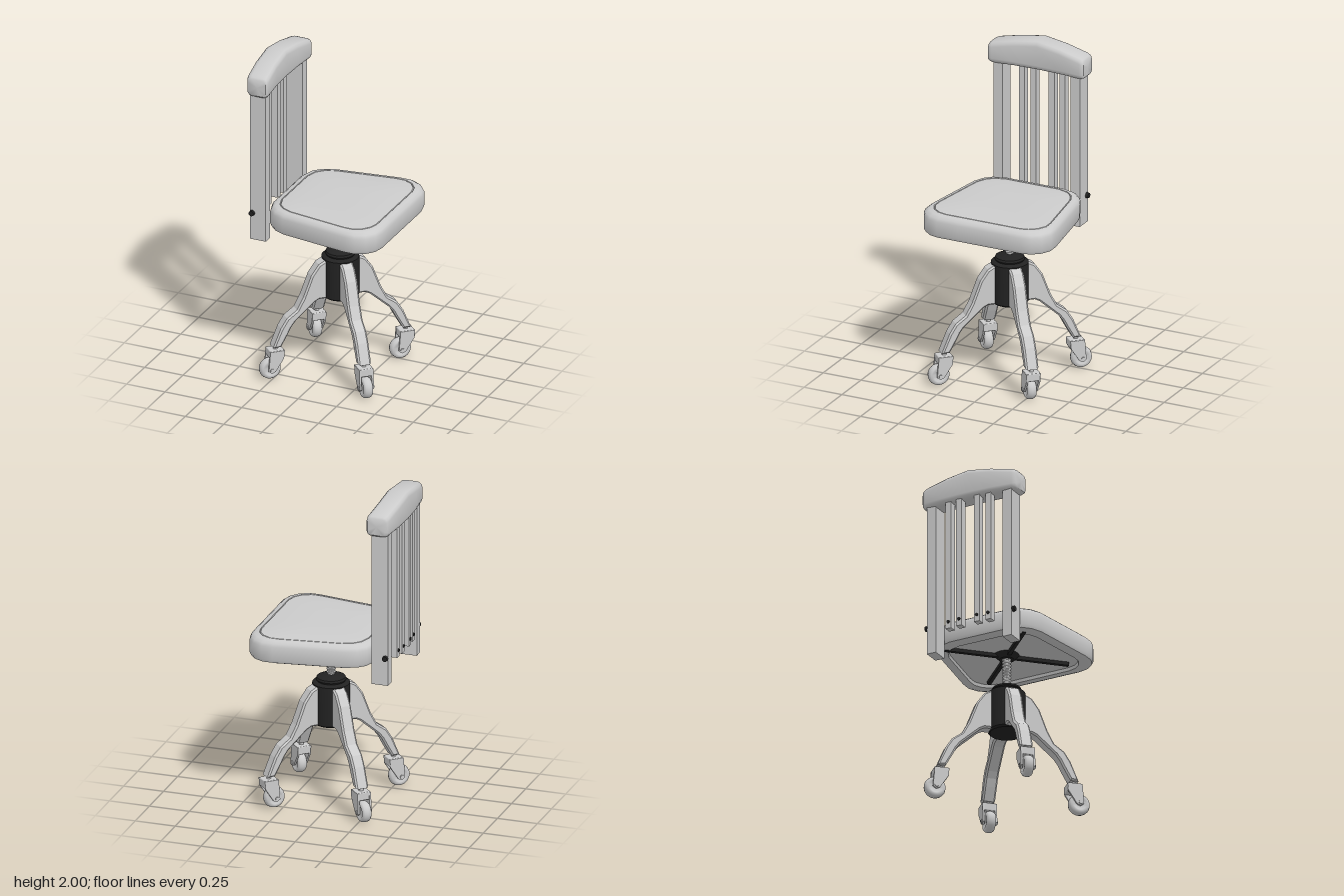
import * as THREE from 'three';
import { toCreasedNormals } from 'three/addons/utils/BufferGeometryUtils.js';
import { RoundedBoxGeometry } from 'three/addons/geometries/RoundedBoxGeometry.js';

const HUB_X = 0.04;
const V2 = (p) => new THREE.Vector2(p[0], p[1]);

function mesh(name, geometry, material, x = 0, y = 0, z = 0) {
  const m = new THREE.Mesh(geometry, material);
  m.name = name;
  m.position.set(x, y, z);
  return m;
}

// Skin a stack of closed rings (arrays of [x, y, z])
function loft(rings, crease) {
  const n = rings[0].length, index = [];
  for (let i = 0; i < rings.length - 1; i++) {
    for (let j = 0; j < n; j++) {
      const a = i * n + j, b = i * n + (j + 1) % n, c = a + n, d = b + n;
      index.push(a, c, b, b, c, d);
    }
  }
  const g = new THREE.BufferGeometry();
  g.setAttribute('position', new THREE.Float32BufferAttribute(rings.flat(2), 3));
  g.setIndex(index);
  return toCreasedNormals(g, crease);
}

function extrude(points, width, bevel) {
  const g = new THREE.ExtrudeGeometry(new THREE.Shape(points.map(V2)), {
    depth: width - 2 * bevel, bevelEnabled: bevel > 0, bevelThickness: bevel,
    bevelSize: bevel, bevelOffset: -bevel, bevelSegments: 1,
  });
  return g.translate(0, 0, bevel - width / 2);
}

// Padded seat: one plan outline, inset and raised ring by ring
function seatGeometry() {
  const half = [[0.445, 0.14], [0.445, 0.28], [0.43, 0.34], [0.39, 0.39], [0.33, 0.42], [0.26, 0.42],
    [-0.17, 0.355], [-0.24, 0.325], [-0.285, 0.28], [-0.31, 0.2]];
  const outline = [...half, ...half.slice().reverse().map(([x, z]) => [x, -z])];
  // [inset, y] from the underside centre to the top centre
  const profile = [[1, 0.985], [0.075, 0.985], [0.07, 0.966], [0.03, 0.966], [0.008, 0.975], [0, 0.995],
    [0, 1.075], [0.008, 1.095], [0.025, 1.108], [0.05, 1.112], [0.052, 1.104], [0.056, 1.112],
    [0.13, 1.119], [0.24, 1.123], [1, 1.124]];
  const cx = 0.0675;
  return loft(profile.map(([d, y]) => {
    const kx = Math.max(0, 1 - d / 0.377), kz = Math.max(0, 1 - d / 0.42);
    return outline.map(([x, z]) => [cx + (x - cx) * kx, y, z * kz]);
  }), 0.75);
}

// Top rail: rounded section swept across the width, peaked and bowed back
function railGeometry() {
  const stations = [[-0.316, 0], [-0.316, 0.8], [-0.308, 0.93], [-0.29, 1], [-0.15, 1], [0, 1],
    [0.15, 1], [0.29, 1], [0.308, 0.93], [0.316, 0.8], [0.316, 0]];
  return loft(stations.map(([z, k]) => {
    const t = Math.abs(z) / 0.316;
    const top = 2.0 - 0.055 * Math.max(0, t * 1.15 - 0.15);
    const hx = 0.07, hy = (top - 1.815) / 2, cx = -0.377 + 0.022 * t * t, cy = 1.815 + hy;
    const ring = [], r = 0.032;
    for (const [sx, sy, a0] of [[1, 1, 90], [1, -1, 0], [-1, -1, -90], [-1, 1, -180]]) {
      for (let s = 0; s <= 3; s++) {
        const a = THREE.MathUtils.degToRad(a0 - s * 30);
        ring.push([cx + k * (sx * (hx - r) + r * Math.cos(a)), cy + k * (sy * (hy - r) + r * Math.sin(a)), z]);
      }
    }
    return ring;
  }), 0.7);
}

// Swivel caster, wheel rolling along +x
function caster(grey) {
  const g = new THREE.Group();
  g.name = 'caster';
  g.add(mesh('casterStem', new THREE.CylinderGeometry(0.014, 0.014, 0.05, 12), grey, 0, 0.2, 0));
  g.add(mesh('casterBlock', new RoundedBoxGeometry(0.09, 0.05, 0.086, 2, 0.006), grey, 0, 0.163, 0));
  const cheek = [[-0.045, 0.185], [-0.04, 0.135], [0.012, 0.055], [0.035, 0.045], [0.055, 0.06], [0.045, 0.185]];
  for (const s of [-1, 1]) {
    g.add(mesh('casterFork', extrude(cheek, 0.012, 0), grey, 0, 0, s * 0.038));
    const pin = mesh('axleCap', new THREE.CylinderGeometry(0.012, 0.012, 0.008, 12), grey, 0.034, 0.066, s * 0.046);
    pin.rotation.x = Math.PI / 2;
    g.add(pin);
  }
  const rim = [[0, -0.024], [0.035, -0.024], [0.04, -0.028], [0.054, -0.027], [0.062, -0.018], [0.066, 0],
    [0.062, 0.018], [0.054, 0.027], [0.04, 0.028], [0.035, 0.024], [0, 0.024]].map(V2);
  const wheel = mesh('casterWheel', toCreasedNormals(new THREE.LatheGeometry(rim, 28), 0.8), grey, 0.034, 0.066, 0);
  wheel.rotation.x = Math.PI / 2;
  g.add(wheel);
  return g;
}

export function createModel() {
  const grey = new THREE.MeshStandardMaterial({ color: 0xcccccc });
  const black = new THREE.MeshStandardMaterial({ color: 0x222222 });
  const model = new THREE.Group();
  model.name = 'swivelChair';

  // Seat with its iron cross underneath
  model.add(mesh('seat', seatGeometry(), grey));
  for (const s of [-1, 1]) {
    const brace = mesh('seatBrace', new THREE.BoxGeometry(0.76, 0.022, 0.022), black, HUB_X, 0.973, 0);
    brace.rotation.y = s * Math.PI / 4;
    model.add(brace);
  }
  model.add(mesh('seatPlate', new THREE.CylinderGeometry(0.075, 0.045, 0.03, 24), black, HUB_X, 0.968, 0));

  // Threaded spindle
  const thread = [];
  for (let y = 0.77; y < 0.955; y += 0.02) thread.push([0.026, y], [0.028, y + 0.007], [0.022, y + 0.011], [0.022, y + 0.016]);
  model.add(mesh('screwSpindle', toCreasedNormals(new THREE.LatheGeometry(thread.map(V2), 20), 0.6), grey, HUB_X));

  // Hub and collar
  const hub = [[0, 0.475], [0.1, 0.475], [0.112, 0.485], [0.112, 0.73], [0.1, 0.74], [0.085, 0.742],
    [0.09, 0.752], [0.085, 0.765], [0.06, 0.776], [0.035, 0.782], [0, 0.782]].map(V2);
  model.add(mesh('hub', toCreasedNormals(new THREE.LatheGeometry(hub, 32), 0.6), black, HUB_X));

  // Four curved legs on the diagonals, each with a caster
  const legOutline = [[0.07, 0.735], [0.09, 0.735], [0.146, 0.705], [0.192, 0.64], [0.243, 0.505], [0.283, 0.43],
    [0.345, 0.385], [0.383, 0.325], [0.432, 0.205], [0.383, 0.205], [0.341, 0.28], [0.318, 0.325],
    [0.292, 0.36], [0.174, 0.465], [0.145, 0.48], [0.07, 0.48]];
  const legGeometry = extrude(legOutline, 0.08, 0.01);
  for (let k = 0; k < 4; k++) {
    const leg = new THREE.Group();
    leg.name = 'legWithCaster';
    leg.position.x = HUB_X;
    leg.rotation.y = Math.PI / 4 + k * Math.PI / 2;
    leg.add(mesh('leg', legGeometry, grey));
    const c = caster(grey);
    c.position.x = 0.408;
    if (k === 0) c.rotation.y = Math.PI;
    leg.add(c);
    model.add(leg);
  }

  // Back: posts, slats, bolts and top rail, mirrored across z
  const slatBottom = 1.0, slatTop = 1.85;
  for (const s of [-1, 1]) {
    model.add(mesh('backPost', new THREE.BoxGeometry(0.104, 0.98, 0.06), grey, -0.364, 1.36, s * 0.255));
    const bolt = mesh('postBolt', new THREE.CylinderGeometry(0.016, 0.018, 0.02, 16), black, -0.4, 1.042, s * 0.292);
    bolt.rotation.x = s * Math.PI / 2;
    model.add(bolt);
    for (const [z, x] of [[0.06, -0.41], [0.134, -0.405]]) {
      model.add(mesh('backSlat', new THREE.BoxGeometry(0.045, slatTop - slatBottom, 0.038), grey,
        x, (slatTop + slatBottom) / 2, s * z));
      const stud = mesh('slatBolt', new THREE.CylinderGeometry(0.01, 0.01, 0.01, 12), black, x - 0.024, 1.042, s * z);
      stud.rotation.z = Math.PI / 2;
      model.add(stud);
    }
  }
  model.add(mesh('topRail', railGeometry(), grey));
  return model;
}
